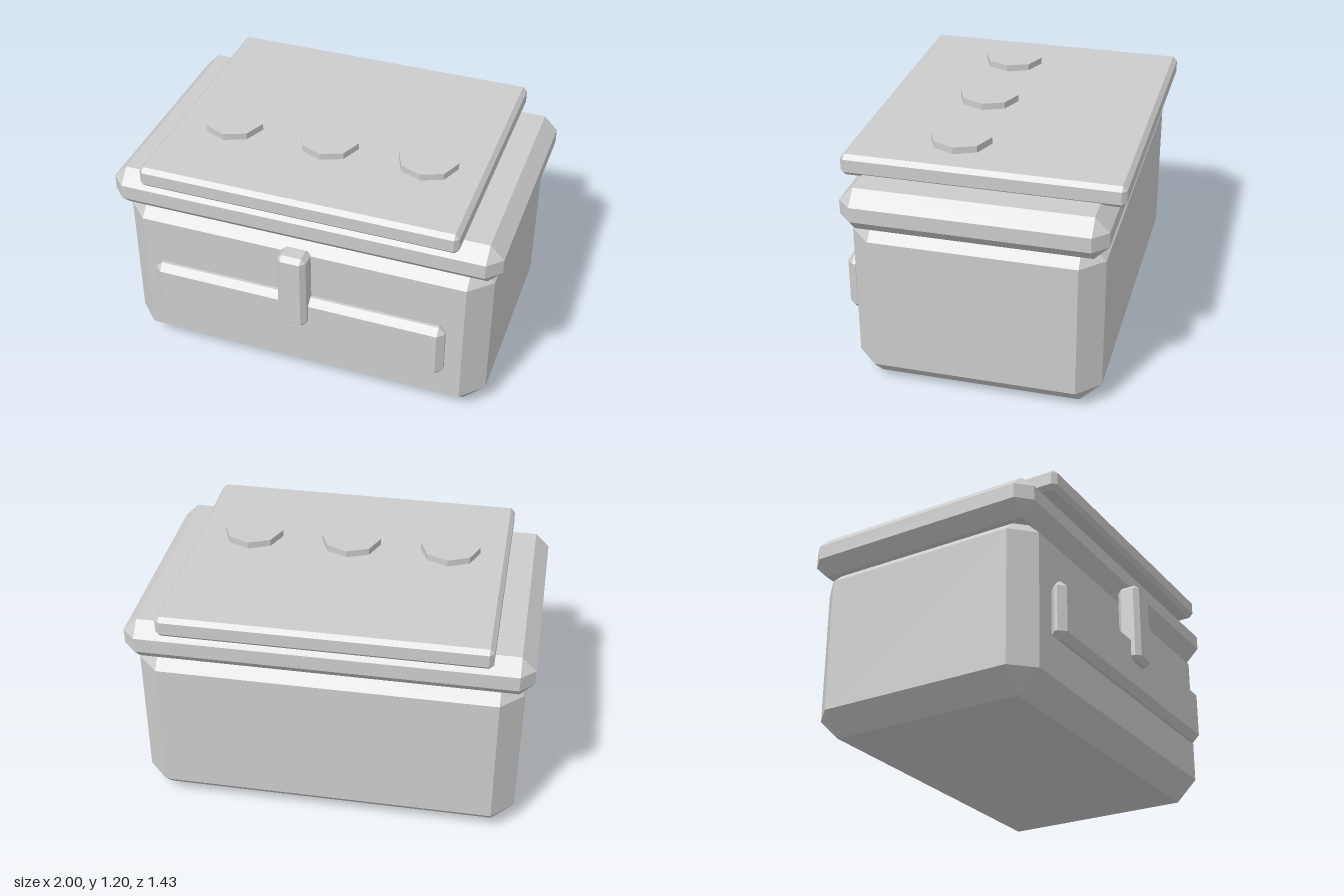
import * as THREE from 'three';
import { ConvexGeometry } from 'three/addons/geometries/ConvexGeometry.js';

// Box between two corners with every edge cut at 45 degrees by c.
function chamferBox([x0, y0, z0], [x1, y1, z1], c) {
  const half = [(x1 - x0) / 2, (y1 - y0) / 2, (z1 - z0) / 2];
  const points = [];
  for (const sx of [-1, 1]) for (const sy of [-1, 1]) for (const sz of [-1, 1]) {
    for (let axis = 0; axis < 3; axis++) {
      // the corner point lying on the face of this axis
      const [hx, hy, hz] = half.map((h, i) => (i === axis ? h : h - c));
      points.push(new THREE.Vector3(sx * hx, sy * hy, sz * hz));
    }
  }
  const geometry = new ConvexGeometry(points);
  geometry.translate((x0 + x1) / 2, (y0 + y1) / 2, (z0 + z1) / 2);
  return geometry;
}

export function createModel() {
  const group = new THREE.Group();
  const grey = new THREE.MeshStandardMaterial({ color: 0xcccccc, flatShading: true });
  grey.name = 'grey';

  const add = (name, geometry) => {
    const mesh = new THREE.Mesh(geometry, grey);
    mesh.name = name;
    group.add(mesh);
    return mesh;
  };

  // Main box and its overhanging rim
  add('body', chamferBox([-0.955, 0, -0.645], [0.955, 0.915, 0.587], 0.11));
  add('rim', chamferBox([-1, 0.86, -0.67], [1, 1.075, 0.612], 0.07));

  // Thin lid plate on top
  add('lidPlate', chamferBox([-0.805, 1.06, -0.717], [0.805, 1.168, 0.655], 0.022));

  // Front panel and the latch in front of it
  add('frontPanel', chamferBox([-0.767, 0.283, 0.587], [0.767, 0.585, 0.67], 0.034));
  add('latch', chamferBox([-0.074, 0.44, 0.597], [0.074, 0.865, 0.716], 0.024));

  // Row of eight-sided discs on the lid
  for (const x of [-0.51, 0, 0.51]) {
    add('disc', new THREE.CylinderGeometry(0.152, 0.152, 0.08, 8)).position.set(x, 1.162, 0.137);
  }

  return group;
}
